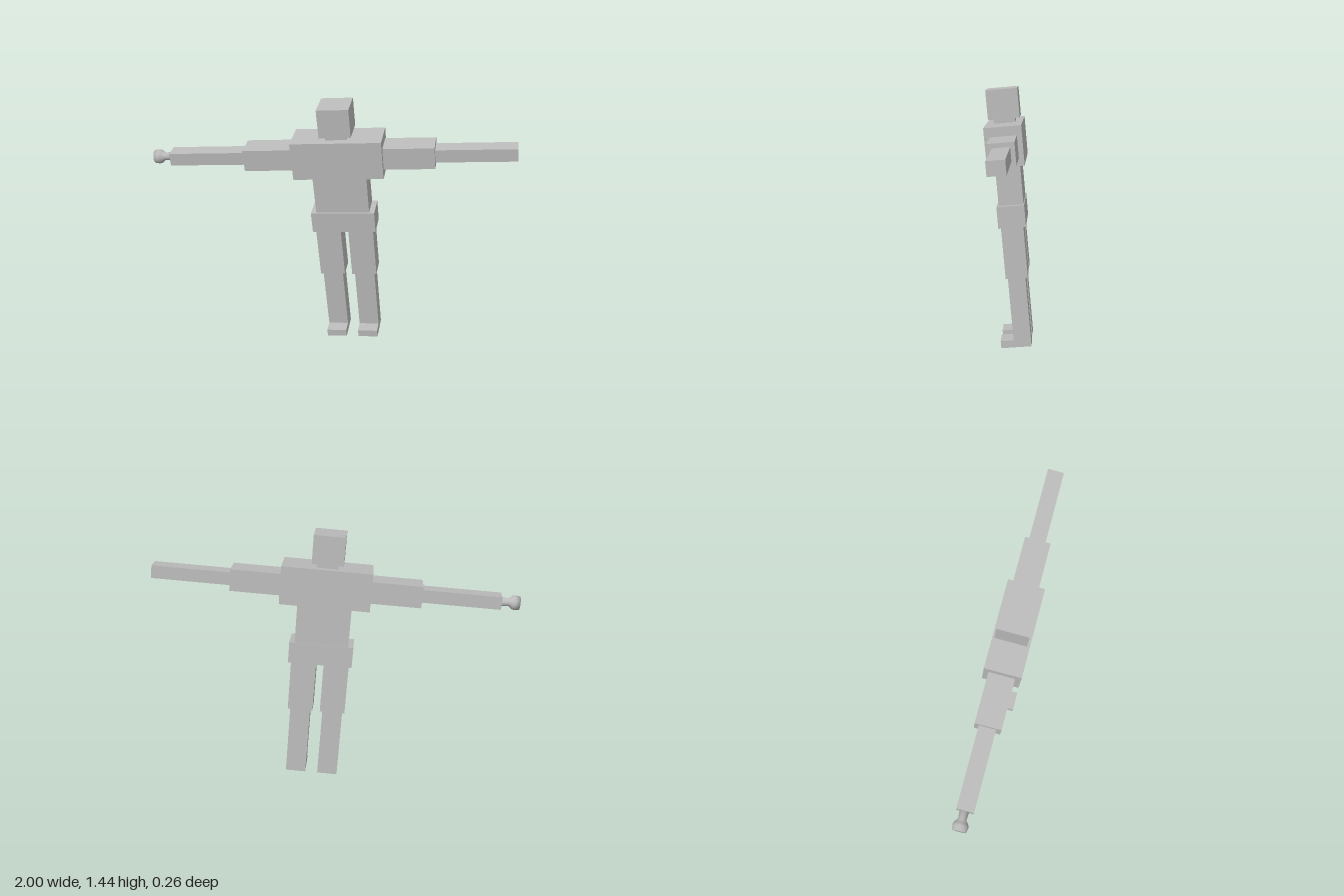
import * as THREE from 'three';

export function createModel() {
  const model = new THREE.Group();
  model.name = 'blockFigure';
  const grey = new THREE.MeshStandardMaterial({ color: 0xbbbbbb });
  grey.name = 'plain grey';

  const body = new THREE.Group();
  body.name = 'body';
  model.add(body);

  const midX = 0.137; // the figure's own mirror plane

  // A box from its lower and upper limits; x is measured from the mirror plane
  function block(name, [x0, x1], [y0, y1], [z0, z1]) {
    const mesh = new THREE.Mesh(new THREE.BoxGeometry(x1 - x0, y1 - y0, z1 - z0), grey);
    mesh.name = name;
    mesh.position.set(midX + (x0 + x1) / 2, (y0 + y1) / 2, (z0 + z1) / 2);
    body.add(mesh);
  }

  // Head and trunk
  block('head', [-0.086, 0.086], [1.262, 1.419], [-0.174, -0.004]);
  block('neck', [-0.057, 0.057], [1.23, 1.27], [-0.146, -0.032]);
  block('chest', [-0.246, 0.246], [1.026, 1.237], [-0.186, 0.012]);
  block('abdomen', [-0.148, 0.148], [0.8, 1.03], [-0.157, -0.023]);
  block('pelvis', [-0.177, 0.177], [0.686, 0.804], [-0.161, -0.012]);

  // Limbs, mirrored
  for (const [side, s] of [['left', 1], ['right', -1]]) {
    const limb = (part, x0, x1, y, z) =>
      block(side + part, s > 0 ? [x0, x1] : [-x1, -x0], y, z);
    limb('UpperArm', 0.24, 0.52, [1.067, 1.187], [-0.159, -0.019]);
    limb('Forearm', 0.515, 0.865, [1.092, 1.163], [-0.136, -0.046]);
    limb('Hand', 0.865, 0.95, [1.092, 1.163], [-0.136, -0.046]);
    limb('Thigh', 0.021, 0.161, [0.4, 0.69], [-0.146, -0.025]);
    limb('Shin', 0.035, 0.148, [0.045, 0.405], [-0.132, -0.036]);
    limb('Foot', 0.035, 0.148, [0.004, 0.045], [-0.132, 0.036]);
  }

  // Small flared knob held at the end of the right hand
  const profile = [[0, 0], [0.024, 0], [0.021, 0.042], [0.037, 0.062], [0.04, 0.076], [0.036, 0.102], [0, 0.102]];
  const knob = new THREE.Mesh(
    new THREE.LatheGeometry(profile.map(([r, d]) => new THREE.Vector2(r, d)), 20), grey);
  knob.name = 'handKnob';
  knob.rotation.z = Math.PI / 2;
  knob.position.set(midX - 0.949, 1.127, -0.094);
  body.add(knob);

  // The whole figure leans slightly
  const up = new THREE.Vector3(-0.079, 0.993, 0.092).normalize();
  const front = new THREE.Vector3(0.9967, 0.079, 0.0196).cross(up).normalize();
  const across = up.clone().cross(front);
  body.quaternion.setFromRotationMatrix(new THREE.Matrix4().makeBasis(across, up, front));

  return model;
}
